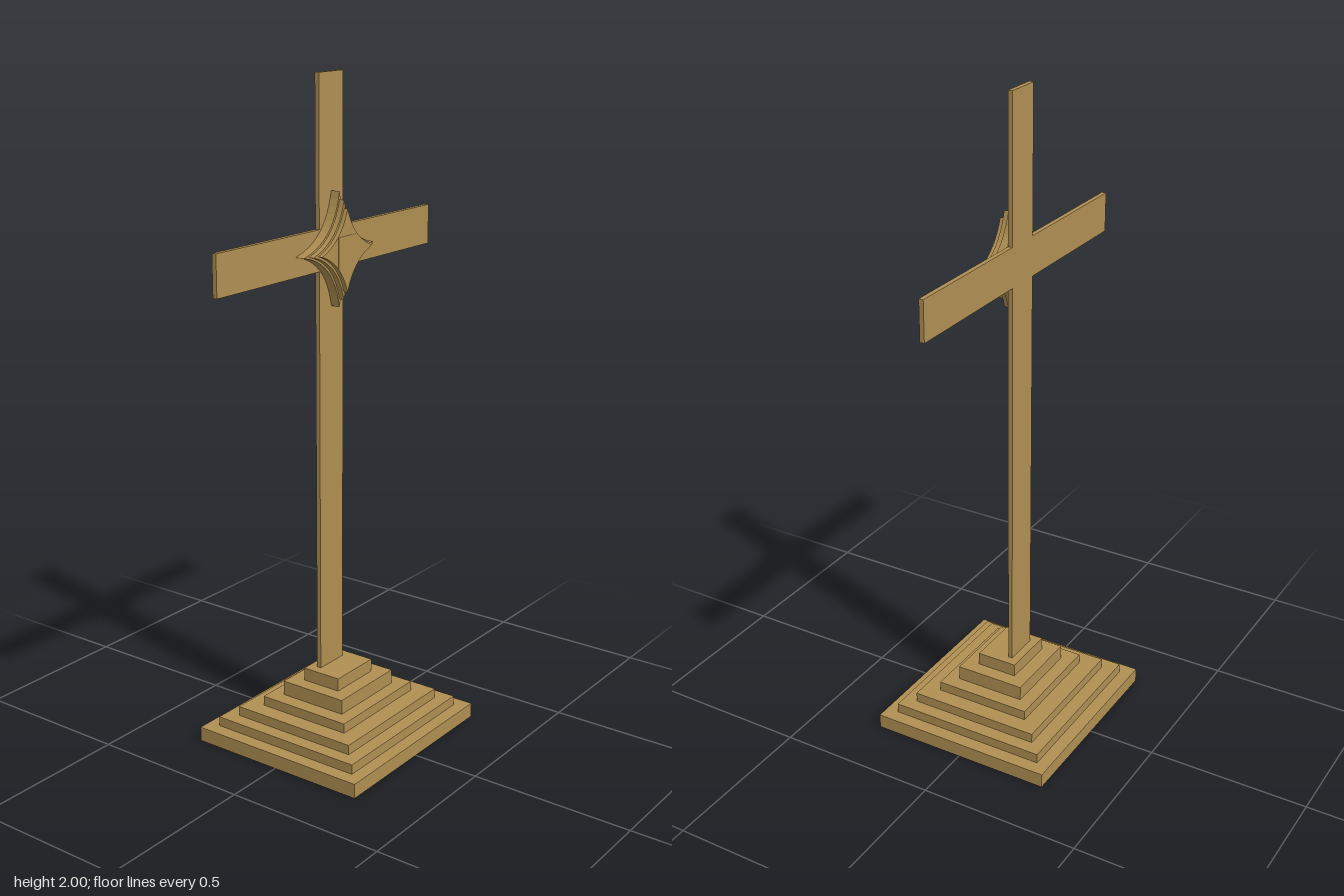
import * as THREE from 'three';

const brass = new THREE.MeshStandardMaterial({ color: 0xb08f52 });
brass.name = 'brass';

const BACK = -0.038, FACE = -0.024, CENTRE_Y = 1.505;

function add(group, name, geometry, x = 0, y = 0, z = 0) {
  const mesh = new THREE.Mesh(geometry, brass);
  mesh.name = name;
  mesh.position.set(x, y, z);
  group.add(mesh);
}

// Four-pointed star with concave sides; k sets how full the sides are
function starShape(r, k) {
  const c = r * k;
  const shape = new THREE.Shape();
  shape.moveTo(r, 0);
  shape.quadraticCurveTo(c, c, 0, r);
  shape.quadraticCurveTo(-c, c, -r, 0);
  shape.quadraticCurveTo(-c, -c, 0, -r);
  shape.quadraticCurveTo(c, -c, r, 0);
  return shape;
}

export function createModel() {
  const model = new THREE.Group();
  model.name = 'standingCross';

  // Stepped base: half width, half depth, top height
  const base = new THREE.Group();
  base.name = 'steppedBase';
  const steps = [
    [0.313, 0.29, 0.045], [0.271, 0.25, 0.075], [0.228, 0.207, 0.105],
    [0.176, 0.152, 0.135], [0.13, 0.11, 0.18], [0.086, 0.064, 0.22],
  ];
  let bottom = 0;
  steps.forEach(([hx, hz, top], i) => {
    add(base, `step${i + 1}`, new THREE.BoxGeometry(hx * 2, top - bottom, hz * 2), 0, (top + bottom) / 2, 0);
    bottom = top;
  });
  model.add(base);

  // Flat cross in one outline: post and crossbar
  const w = 0.056, a = 0.5, lo = 1.447, hi = 1.567;
  const outline = new THREE.Shape([
    [-w, 0.22], [w, 0.22], [w, lo], [a, lo], [a, hi], [w, hi],
    [w, 2], [-w, 2], [-w, hi], [-a, hi], [-a, lo], [-w, lo],
  ].map(([x, y]) => new THREE.Vector2(x, y)));
  add(model, 'cross', new THREE.ExtrudeGeometry(outline, { depth: FACE - BACK, bevelEnabled: false }), 0, 0, BACK);

  // Layered star at the crossing: radius, fullness, front z
  const star = new THREE.Group();
  star.name = 'starOrnament';
  let z = FACE;
  [[0.166, 0.16, 0.005], [0.143, 0.2, 0.021], [0.12, 0.25, 0.034]].forEach(([r, k, front], i) => {
    const geometry = new THREE.ExtrudeGeometry(starShape(r, k), { depth: front - z, bevelEnabled: false, curveSegments: 12 });
    add(star, `starLayer${i + 1}`, geometry, 0, CENTRE_Y, z);
    z = front;
  });

  // Square boss in the middle of the star
  add(star, 'squareBoss', new THREE.BoxGeometry(0.088, 0.088, 0.014), 0, CENTRE_Y, 0.029);
  model.add(star);

  return model;
}
